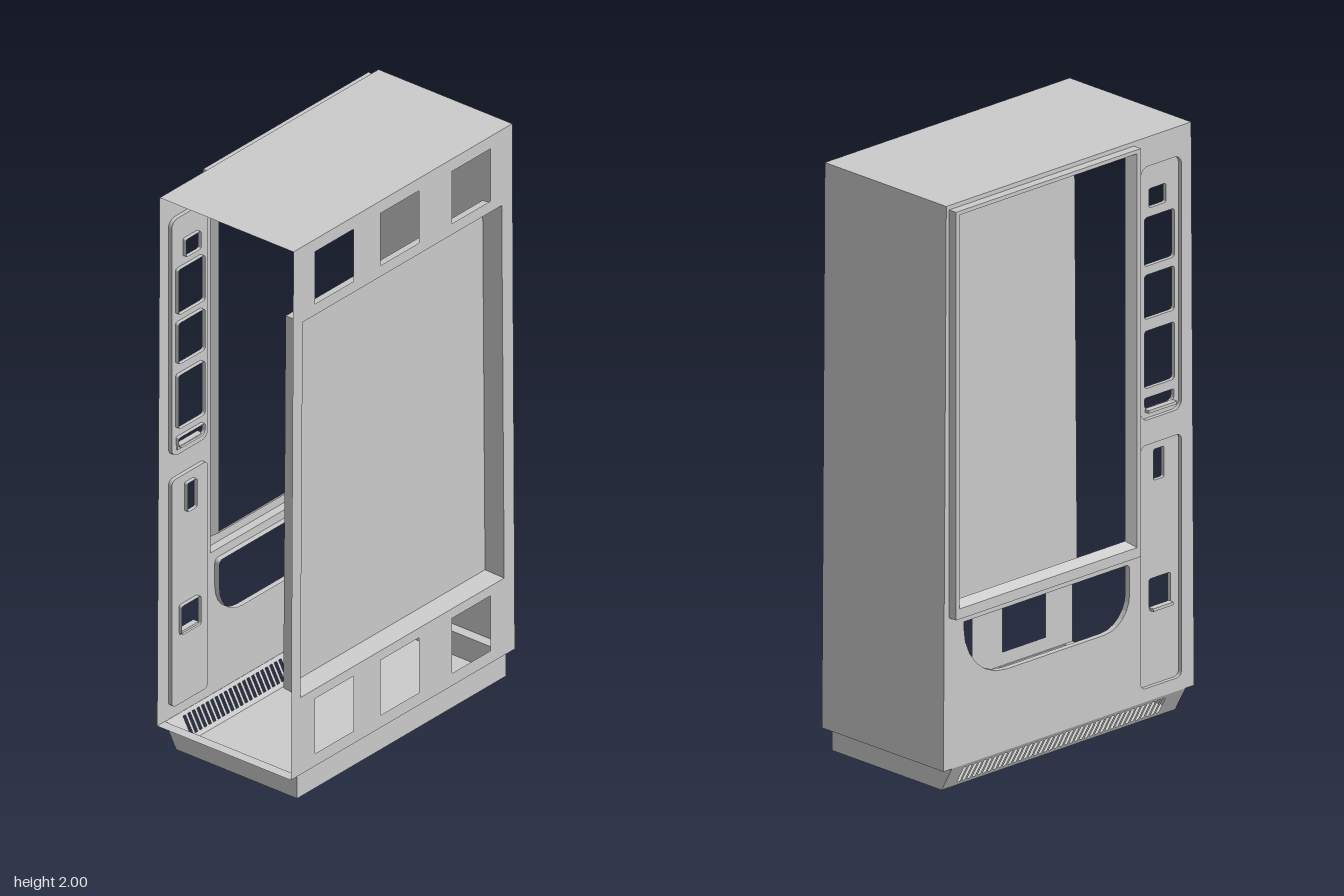
import * as THREE from 'three';

const FRONT = 0.29, BACK = -0.262, RIM = 0.085, TOP = 2, FACE = -0.293;
const halfWidth = (y) => 0.556 - 0.013 * (y - RIM) / (TOP - RIM);
const V = (x, y, z) => new THREE.Vector3(x, y, z);

// Outline of a rectangle with its own radius per corner: bottom -x, bottom +x, top +x, top -x
function rect(x0, x1, y0, y1, r = [0, 0, 0, 0]) {
  if (typeof r === 'number') r = [r, r, r, r];
  const corners = [[x0, y0, 1, 1], [x1, y0, -1, 1], [x1, y1, -1, -1], [x0, y1, 1, -1]];
  const pts = [];
  corners.forEach(([x, y, sx, sy], i) => {
    const steps = r[i] ? 6 : 0;
    for (let k = 0; k <= steps; k++) {
      const a = Math.PI * (1 + i / 2) + (steps ? (k / steps) * Math.PI / 2 : 0);
      pts.push(new THREE.Vector2(
        x + sx * r[i] + (r[i] ? Math.cos(a) * r[i] : 0),
        y + sy * r[i] + (r[i] ? Math.sin(a) * r[i] : 0)));
    }
  });
  return pts;
}

// Flat sheet at depth z with holes cut through
function sheet(outline, holes, z) {
  const shape = new THREE.Shape(outline);
  holes.forEach((h) => shape.holes.push(new THREE.Path(h)));
  return new THREE.ShapeGeometry(shape).translate(0, 0, z);
}

// Surface joining two matching rows of points
function loft(a, b, closed = true) {
  const pos = [];
  const n = a.length;
  for (let i = 0; i < (closed ? n : n - 1); i++) {
    const j = (i + 1) % n;
    for (const p of [a[i], a[j], b[j], a[i], b[j], b[i]]) pos.push(p.x, p.y, p.z);
  }
  const g = new THREE.BufferGeometry();
  g.setAttribute('position', new THREE.Float32BufferAttribute(pos, 3));
  g.computeVertexNormals();
  return g;
}
const at = (pts, z) => pts.map((p) => V(p.x, p.y, z));
const band = (a, za, b, zb) => loft(at(a, za), at(b, zb));

export function createModel() {
  const model = new THREE.Group();
  const material = new THREE.MeshStandardMaterial({ color: 0xcccccc, side: THREE.DoubleSide });
  const add = (name, geometry) => {
    const mesh = new THREE.Mesh(geometry, material);
    mesh.name = name;
    model.add(mesh);
    return mesh;
  };

  // Slightly tapered wall outline shared by both large faces
  const wb = halfWidth(RIM), wt = halfWidth(TOP);
  const wall = [[-wb, RIM], [wb, RIM], [wt, TOP], [-wt, TOP]].map((p) => new THREE.Vector2(...p));

  // Cabinet top and the one closed side; the other side is open
  add('cabinetTop', loft([V(-wt, TOP, FRONT), V(wt, TOP, FRONT)], [V(-wt, TOP, BACK), V(wt, TOP, BACK)], false));
  add('leftSideWall', loft([V(wb, RIM, FRONT), V(wb, RIM, BACK)], [V(wt, TOP, FRONT), V(wt, TOP, BACK)], false));

  // Front wall: recessed panel with three square holes above and below
  const panel = [[-0.508, 0.365], [0.503, 0.365], [0.491, 1.725], [-0.497, 1.725]].map((p) => new THREE.Vector2(...p));
  const panelFloor = panel.map((p) => new THREE.Vector2(p.x * 0.99, p.y + (p.y < 1 ? 0.006 : -0.006)));
  const vents = [];
  for (const x of [-0.34, -0.015, 0.34]) {
    vents.push(rect(x - 0.095, x + 0.095, 1.765, 1.955), rect(x - 0.095, x + 0.095, 0.13, 0.33));
  }
  add('frontWall', sheet(wall, [panel, ...vents], FRONT));
  add('panelRecessSides', band(panel, FRONT, panelFloor, 0.215));
  add('recessedPanel', sheet(panelFloor, [], 0.215));

  // Back wall with cut-outs for the display window, delivery opening and control strips
  const windowOuter = rect(-0.29, 0.53, 0.6, 1.985);
  const windowRim = rect(-0.272, 0.515, 0.635, 1.972);
  const windowInner = rect(-0.25, 0.503, 0.655, 1.96);
  const delivery = rect(-0.27, 0.465, 0.36, 0.57, [0.11, 0.19, 0, 0.015]);
  const upperStrip = rect(-0.5, -0.32, 1.04, 1.9, 0.03);
  const lowerStrip = rect(-0.5, -0.32, 0.13, 0.955, 0.02);
  add('backWall', sheet(wall, [windowOuter, delivery, upperStrip, lowerStrip], BACK));

  // Raised window frame
  add('windowFrameSides', band(windowOuter, BACK, windowOuter, FACE));
  add('windowFrameFace', sheet(windowOuter, [windowRim], FACE));
  add('windowFrameBevel', band(windowRim, FACE, windowInner, BACK));

  // Lip inside the delivery opening
  add('deliveryLip', band(delivery, BACK, delivery, BACK + 0.02));

  // Sunken control strips with openings
  const stripZ = BACK + 0.014;
  const strips = [
    ['upperControlStrip', upperStrip, [
      rect(-0.445, -0.37, 1.75, 1.815, 0.006),
      rect(-0.482, -0.35, 1.555, 1.72, 0.01),
      rect(-0.482, -0.35, 1.375, 1.525, 0.01),
      rect(-0.482, -0.35, 1.14, 1.335, 0.01),
      rect(-0.48, -0.35, 1.068, 1.108, [0.018, 0.018, 0.005, 0.005])]],
    ['lowerControlStrip', lowerStrip, [
      rect(-0.437, -0.39, 0.82, 0.925, 0.006),
      rect(-0.465, -0.37, 0.385, 0.49, 0.008)]],
  ];
  for (const [name, outline, openings] of strips) {
    add(name + 'Edge', band(outline, BACK, outline, stripZ));
    add(name, sheet(outline, openings, stripZ));
    openings.forEach((o) => add(name + 'Opening', band(o, stripZ, o, stripZ + 0.014)));
  }

  // Small protruding lips below the lowest strip openings
  for (const [x, y, w] of [[-0.415, 1.066, 0.125], [-0.4175, 0.388, 0.09]]) {
    add('trayLip', new THREE.BoxGeometry(w, 0.01, 0.022).translate(x, y, stripZ - 0.006));
  }

  // Rim under the cabinet, stepping in to the base
  const bx = 0.518, bz = 0.284, foot = -0.215;
  add('bottomRim', sheet(rect(-wb, wb, BACK, FRONT), [rect(-bx, bx, BACK + 0.001, bz)], 0)
    .rotateX(Math.PI / 2).translate(0, RIM, 0));

  // Base tray: front, both sides and floor
  add('baseSkirt', loft(
    [V(-bx, 0, foot), V(-bx, 0, bz), V(bx, 0, bz), V(bx, 0, foot)],
    [V(-bx, RIM, BACK), V(-bx, RIM, bz), V(bx, RIM, bz), V(bx, RIM, BACK)], false));
  add('baseFloor', loft([V(-bx, 0, foot), V(bx, 0, foot)], [V(-bx, 0, bz), V(bx, 0, bz)], false));

  // Sloping grille with a row of slots
  const slots = [];
  for (let i = 0; i < 40; i++) {
    const x = -0.43 + i * 0.0226;
    slots.push(rect(x - 0.006, x + 0.006, 0.014, 0.072));
  }
  const grille = sheet(rect(-bx, bx, 0, RIM), slots, 0);
  const p = grille.attributes.position;
  for (let i = 0; i < p.count; i++) p.setZ(i, foot + (BACK - foot) * p.getY(i) / RIM);
  grille.computeVertexNormals();
  add('grille', grille);

  return model;
}
